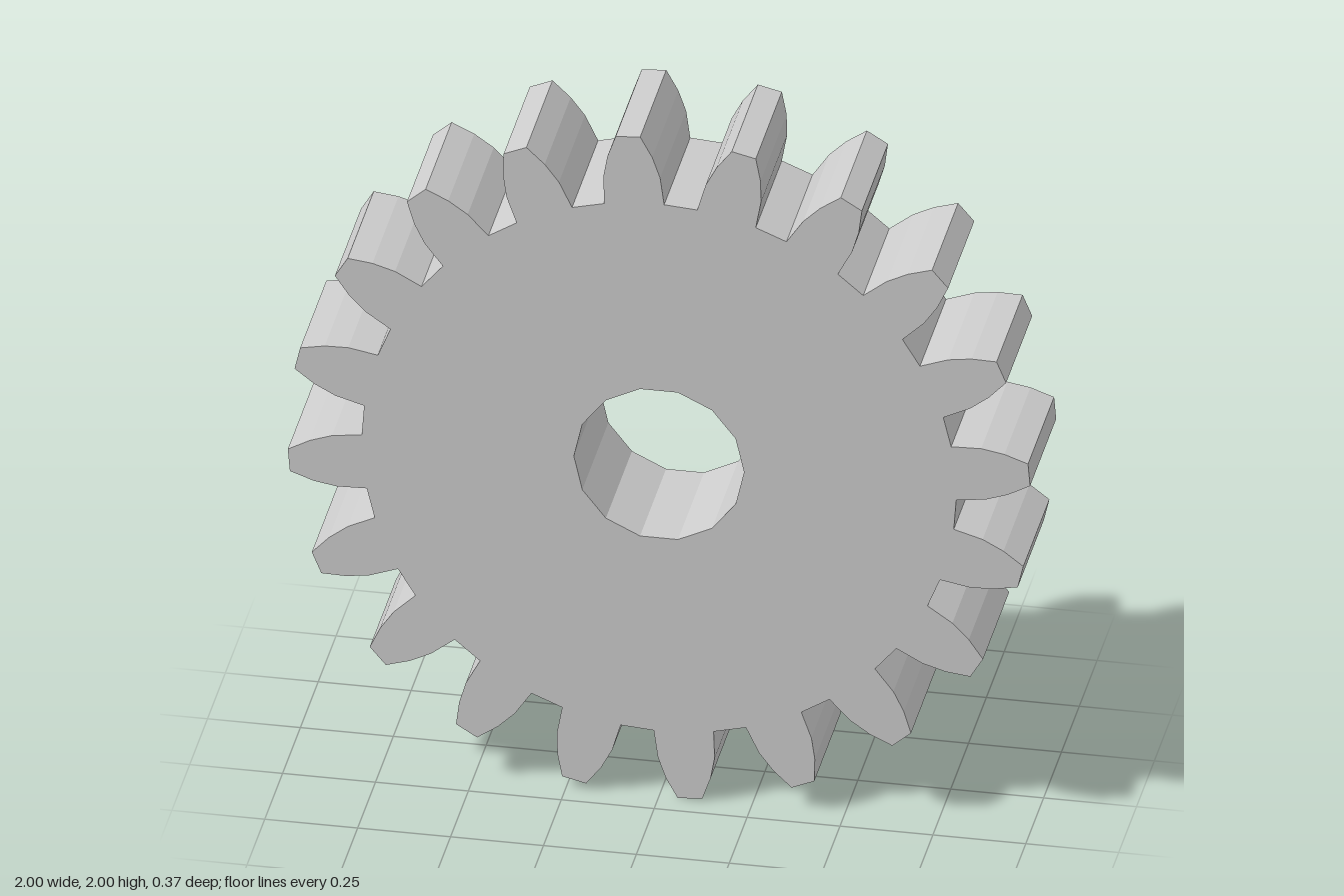
import * as THREE from 'three';

const TEETH = 20;
const THICKNESS = 0.366;
const BORE_RADIUS = 0.229;
const BORE_SIDES = 14;
const BORE_LIFT = 0.01;
const deg = THREE.MathUtils.degToRad;

// One flank of a tooth, root to tip: [radius, half angle in degrees]
const FLANK = [[0.8, 5.8], [0.88, 5.0], [0.94, 3.7], [1.0, 1.9]];

// Point at an angle measured clockwise from the top
const polar = (radius, angle) =>
  new THREE.Vector2(radius * Math.sin(deg(angle)), radius * Math.cos(deg(angle)));

// Toothed rim (clockwise), each tooth mirrored about its centre line
function gearOutline() {
  const points = [];
  for (let i = 0; i < TEETH; i++) {
    const centre = -4.8 + (i * 360) / TEETH;
    for (const [r, a] of FLANK) points.push(polar(r, centre - a));
    for (const [r, a] of [...FLANK].reverse()) points.push(polar(r, centre + a));
  }
  return points;
}

// Faceted shaft hole with flat top and bottom, wound against the rim so its wall faces inward
function boreOutline() {
  const points = [];
  for (let i = 0; i < BORE_SIDES; i++) {
    const point = polar(BORE_RADIUS, (-(i + 0.5) * 360) / BORE_SIDES);
    point.y += BORE_LIFT;
    points.push(point);
  }
  return points;
}

export function createModel() {
  const group = new THREE.Group();
  group.name = 'spurGear';

  const shape = new THREE.Shape(gearOutline());
  shape.holes.push(new THREE.Path(boreOutline()));

  const geometry = new THREE.ExtrudeGeometry(shape, { depth: THICKNESS, bevelEnabled: false });
  geometry.translate(0, 0, -THICKNESS / 2);

  // Stand the lowest tooth on the ground
  geometry.computeBoundingBox();
  geometry.translate(0, -geometry.boundingBox.min.y, 0);

  const gear = new THREE.Mesh(
    geometry,
    new THREE.MeshStandardMaterial({ color: 0xcccccc, flatShading: true })
  );
  gear.name = 'gearWheel';
  group.add(gear);
  return group;
}
